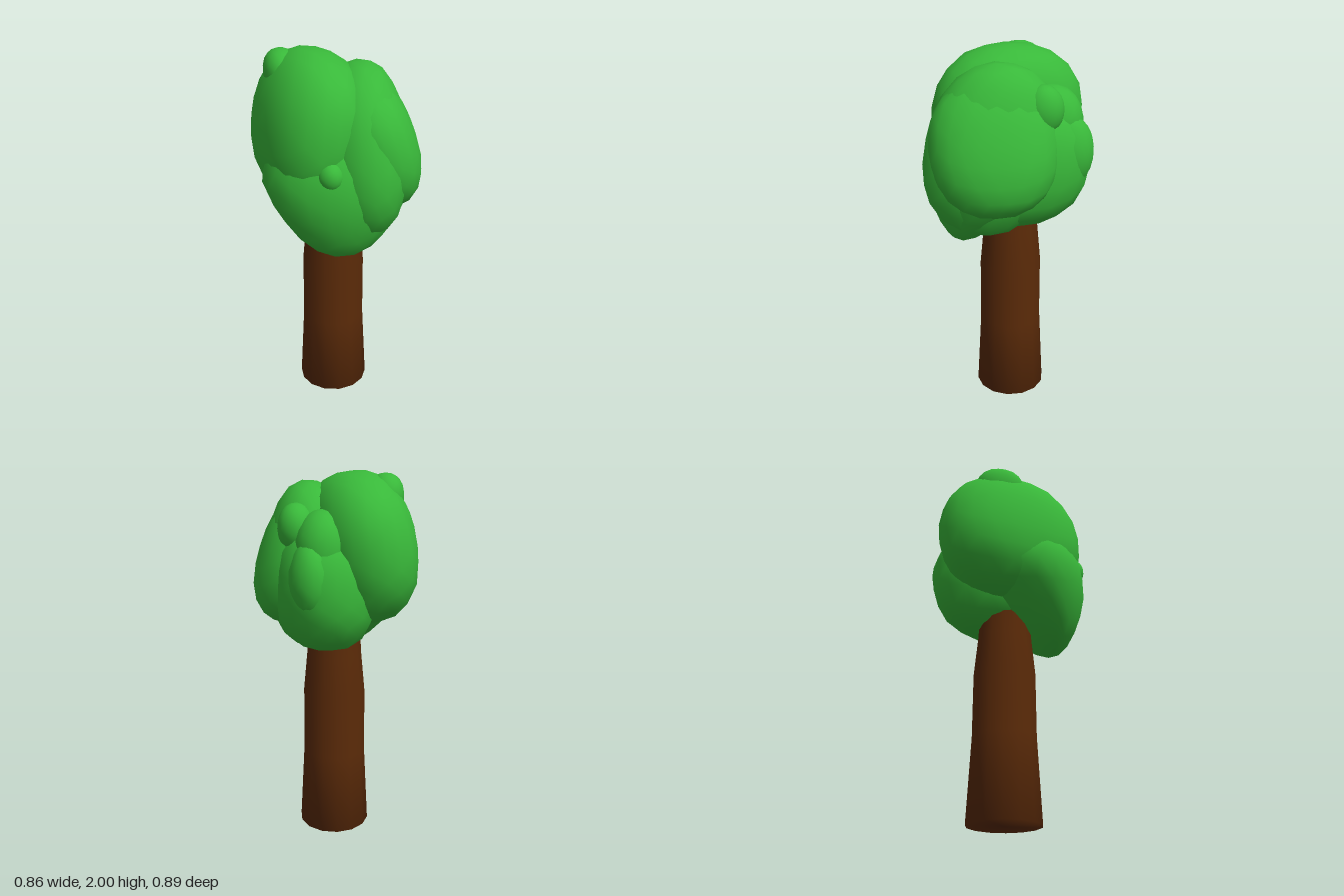
import * as THREE from 'three';
import { mergeVertices } from 'three/addons/utils/BufferGeometryUtils.js';

// Smooth, gently lumpy superellipsoid: power 2 is an ellipsoid, higher is boxier.
// chin narrows the lower half and draws it forward.
function blobGeometry([rx, ry, rz], power, seed, chin) {
  let geo = new THREE.IcosahedronGeometry(1, 3);
  geo.deleteAttribute('uv');
  geo.deleteAttribute('normal');
  geo = mergeVertices(geo, 1e-4);
  const p = geo.attributes.position;
  const v = new THREE.Vector3();
  for (let i = 0; i < p.count; i++) {
    v.fromBufferAttribute(p, i);
    const norm = Math.abs(v.x) ** power + Math.abs(v.y) ** power + Math.abs(v.z) ** power;
    const lump = 1 + 0.015 * Math.sin(3 * v.x + seed) * Math.sin(3.5 * v.y + 2 * seed);
    v.multiplyScalar(lump / norm ** (1 / power));
    const down = chin ? Math.max(0, -v.y) : 0;
    p.setXYZ(i,
      v.x * rx * (1 - 0.22 * down),
      v.y * ry,
      v.z * rz * (1 - 0.5 * down) + 0.17 * down);
  }
  geo.computeVertexNormals();
  return geo;
}

export function createModel() {
  const model = new THREE.Group();
  model.name = 'tree';
  const leaf = new THREE.MeshStandardMaterial({ color: 0x39b93a });
  leaf.name = 'leaf green';
  const bark = new THREE.MeshStandardMaterial({ color: 0x5a2a08 });
  bark.name = 'bark brown';

  // Trunk: closed base, flared foot, straight middle, narrowing neck
  const profile = [[0, 0], [0.198, 0], [0.174, 0.45], [0.172, 0.8], [0.151, 1.02], [0.14, 1.2]]
    .map(([r, y]) => new THREE.Vector2(r, y));
  const trunk = new THREE.Mesh(new THREE.LatheGeometry(profile, 14), bark);
  trunk.name = 'trunk';
  trunk.position.set(-0.002, 0, -0.032);
  model.add(trunk);

  // Foliage: overlapping clumps
  const foliage = new THREE.Group();
  foliage.name = 'foliage';
  const clumps = [
    { name: 'crownClump', at: [-0.135, 1.6, -0.03], size: [0.27, 0.4, 0.415], power: 2.35, tilt: [0, 0.2, -0.12] },
    { name: 'frontClump', at: [0, 1.35, 0.08], size: [0.395, 0.385, 0.345], power: 2, chin: true },
    { name: 'middleClump', at: [0.12, 1.49, 0.085], size: [0.24, 0.46, 0.345], power: 2.2, tilt: [-0.25, 0, 0] },
    { name: 'sideClump', at: [0.19, 1.53, 0.08], size: [0.215, 0.36, 0.33], power: 2.3, tilt: [0, 0, 0.3] },
    { name: 'lowerClump', at: [0.06, 1.42, -0.05], size: [0.27, 0.36, 0.39], power: 2.4, tilt: [0, 0.1, 0] },
    { name: 'backClump', at: [0.07, 1.62, -0.21], size: [0.15, 0.2, 0.19], power: 2.2 },
    { name: 'backSideBump', at: [0.135, 1.48, -0.295], size: [0.12, 0.2, 0.155], power: 2 },
    { name: 'shoulderBump', at: [0.2, 1.72, -0.16], size: [0.1, 0.13, 0.11], power: 2 },
    { name: 'topBump', at: [-0.255, 1.87, -0.11], size: [0.095, 0.12, 0.14], power: 2.2 },
    { name: 'frontBump', at: [-0.085, 1.46, 0.34], size: [0.07, 0.08, 0.08], power: 2 },
  ];
  clumps.forEach(({ name, at, size, power, tilt = [0, 0, 0], chin }, i) => {
    const mesh = new THREE.Mesh(blobGeometry(size, power, i * 1.7, chin), leaf);
    mesh.name = name;
    mesh.position.set(...at);
    mesh.rotation.set(...tilt);
    foliage.add(mesh);
  });
  model.add(foliage);
  return model;
}
